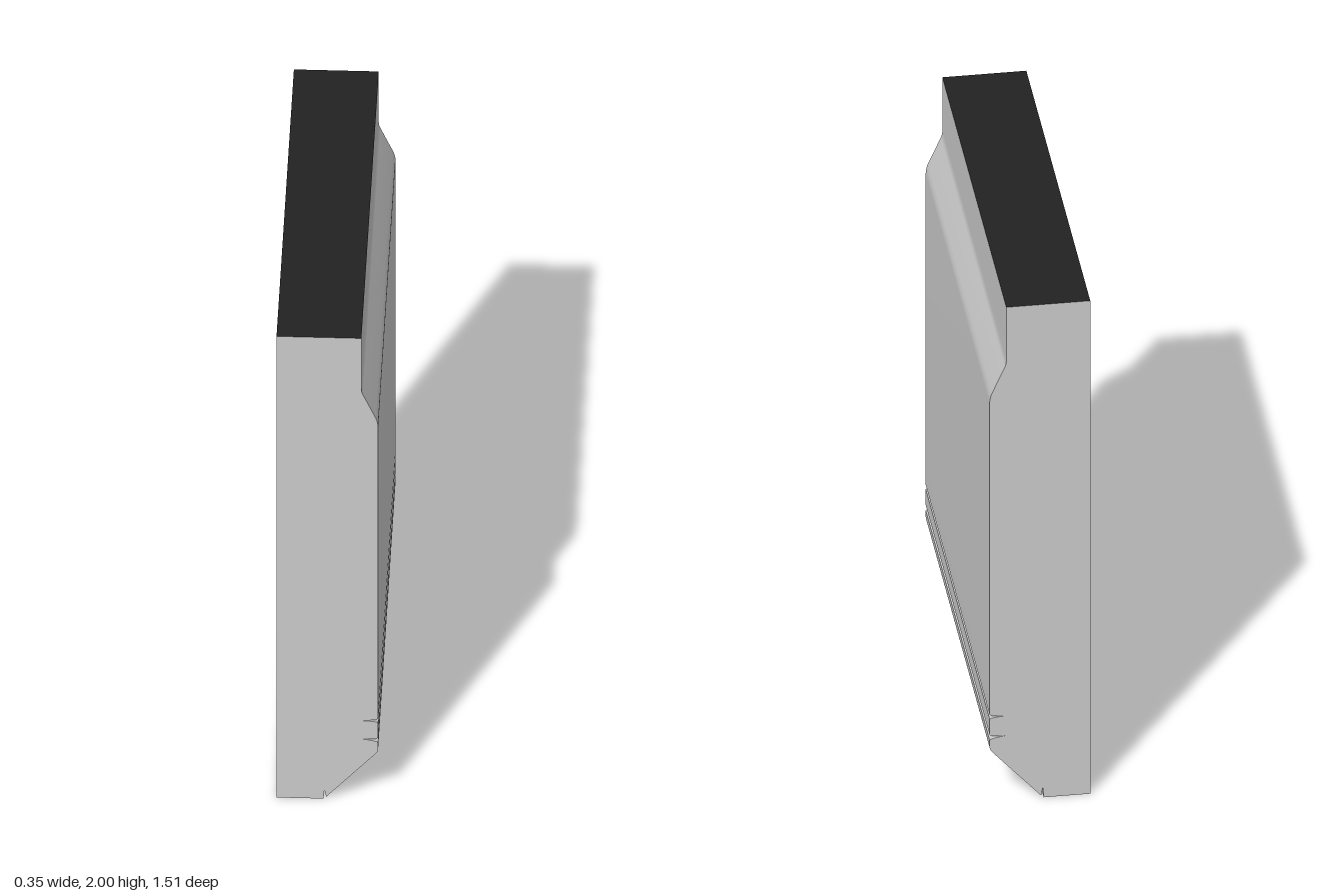
import * as THREE from 'three';
import { toCreasedNormals } from 'three/addons/utils/BufferGeometryUtils.js';

const BACK = -0.177, FACE = 0.173, LIP = 0.115, TOP = 2, DEPTH = 1.51;

// Moulding cross-section, counter-clockwise from the bottom back corner
function profile() {
  const s = new THREE.Shape();
  s.moveTo(BACK, 0);
  s.lineTo(-0.015, 0);
  // small slit at the toe of the bevel
  s.lineTo(-0.012, 0.04);
  s.lineTo(-0.006, 0.008);
  // bevel with a softened upper corner
  s.lineTo(0.163, 0.198);
  s.quadraticCurveTo(FACE, 0.209, FACE, 0.222);
  // two tapered grooves
  s.lineTo(FACE, 0.248);
  s.quadraticCurveTo(0.17, 0.256, 0.118, 0.262);
  s.lineTo(0.165, 0.264);
  s.lineTo(FACE, 0.27);
  s.lineTo(FACE, 0.334);
  s.quadraticCurveTo(0.168, 0.341, 0.112, 0.342);
  s.lineTo(0.165, 0.346);
  s.lineTo(FACE, 0.352);
  // main face, sloped shoulder and upper lip
  s.lineTo(FACE, 1.615);
  s.quadraticCurveTo(FACE, 1.635, 0.165, 1.655);
  s.lineTo(0.121, 1.755);
  s.quadraticCurveTo(LIP, 1.767, LIP, 1.785);
  s.lineTo(LIP, TOP);
  s.lineTo(BACK, TOP);
  s.closePath();
  return s;
}

function meshFrom(name, coords, color) {
  const g = new THREE.BufferGeometry();
  g.setAttribute('position', new THREE.Float32BufferAttribute(coords, 3));
  const mesh = new THREE.Mesh(toCreasedNormals(g, 0.3), new THREE.MeshStandardMaterial({ color }));
  mesh.name = name;
  return mesh;
}

export function createModel() {
  const solid = new THREE.ExtrudeGeometry(profile(), { depth: DEPTH, bevelEnabled: false, curveSegments: 6 });
  solid.translate(0, 0, -DEPTH / 2);
  const p = solid.attributes.position;

  // Separate the dark back and top faces from the grey body
  const body = [], backing = [];
  for (let i = 0; i < p.count; i += 3) {
    const corners = [i, i + 1, i + 2];
    const dark = corners.every((k) => p.getX(k) < BACK + 0.001) || corners.every((k) => p.getY(k) > TOP - 0.001);
    for (const k of corners) (dark ? backing : body).push(p.getX(k), p.getY(k), p.getZ(k));
  }

  const group = new THREE.Group();
  group.name = 'mouldingSection';
  group.add(meshFrom('mouldingBody', body, 0xcccccc));
  group.add(meshFrom('backAndTopFaces', backing, 0x222222));
  return group;
}
